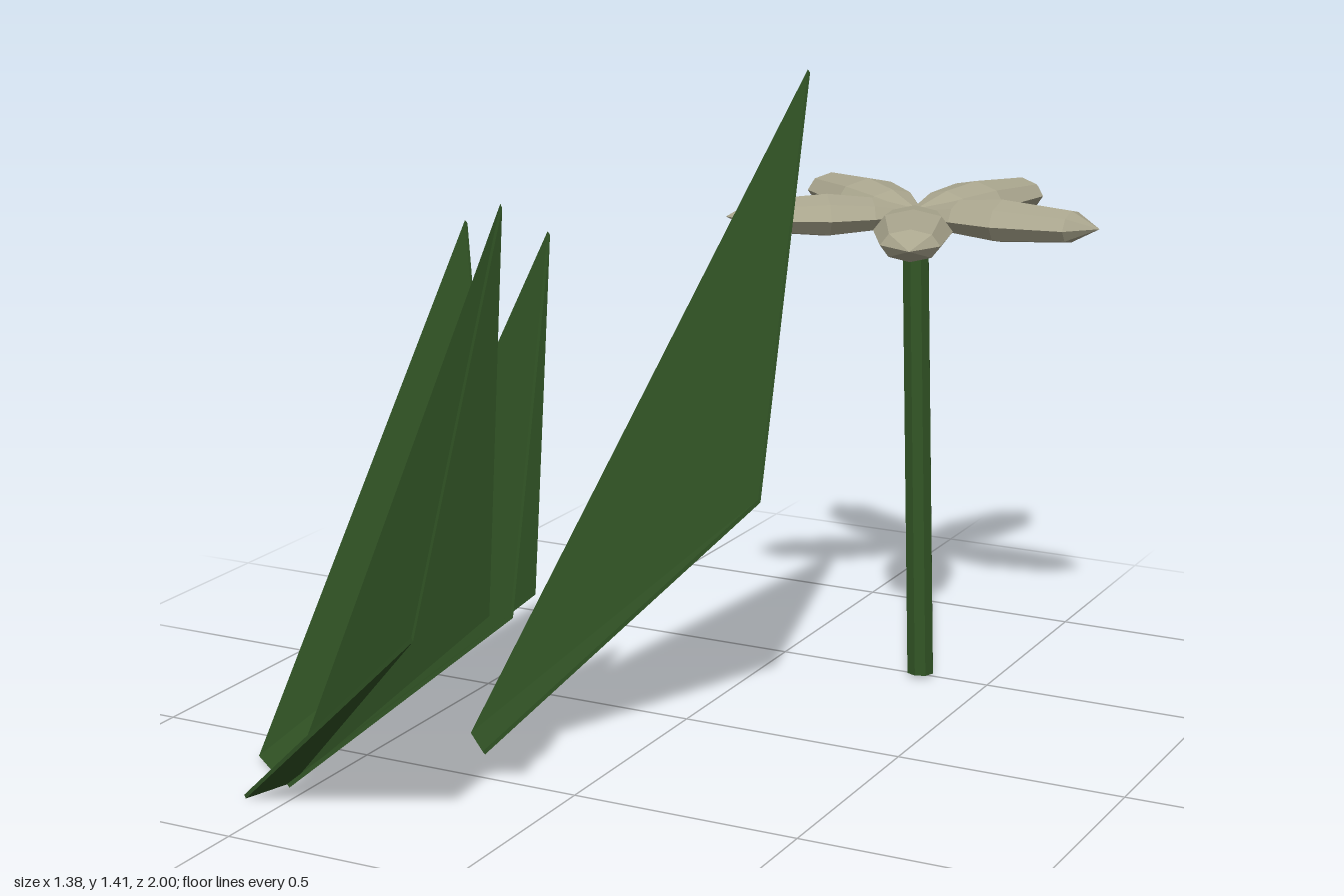
import * as THREE from 'three';

const leafGreen = new THREE.MeshStandardMaterial({ color: 0x305224, side: THREE.DoubleSide });
leafGreen.name = 'leaf green';
const petalCream = new THREE.MeshStandardMaterial({ color: 0xaaa68e });
petalCream.name = 'petal cream';

// Adds a mesh with flat facets
function addMesh(parent, name, geometry, material) {
  const faceted = geometry.toNonIndexed();
  faceted.computeVertexNormals();
  const mesh = new THREE.Mesh(faceted, material);
  mesh.name = name;
  parent.add(mesh);
  return mesh;
}

// Thin blade: a five-cornered outline folded along lines that fan out from
// its first base corner, given a narrow rim
function leafGeometry({ base, middle, height, tip }) {
  const back = [
    [base[0][0], 0, base[0][1]],
    [base[1][0], 0, base[1][1]],
    [middle[1][0], height, middle[1][1]],
    tip,
    [middle[0][0], height, middle[0][1]],
  ];
  // The inner sheet lies a little above and towards the root
  const run = new THREE.Vector2(tip[0] - base[0][0], tip[2] - base[0][1]).setLength(0.005);
  const inner = back.map(([x, y, z]) => [x - run.x, y + 0.007, z - run.y]);
  const faces = [];
  for (let i = 1; i < 4; i++) faces.push(0, i, i + 1, 5, 6 + i, 5 + i);
  for (let i = 0; i < 5; i++) {
    const j = (i + 1) % 5;
    faces.push(i, 5 + i, 5 + j, i, 5 + j, j);
  }
  const g = new THREE.BufferGeometry();
  g.setAttribute('position', new THREE.Float32BufferAttribute([...back, ...inner].flat(), 3));
  g.setIndex(faces);
  return g;
}

// Base and middle corners as [x, z]; the first of each is on the folded side
const leaves = [
  { name: 'tallLeaf', base: [[-0.36, 0.30], [-0.28, 0.385]], middle: [[0.05, -0.13], [0.17, -0.01]],
    height: 0.51, tip: [0.207, 1.405, -0.158] },
  { name: 'rearLeaf', base: [[-0.685, 0.62], [-0.585, 0.70]], middle: [[-0.42, 0.23], [-0.26, 0.36]],
    height: 0.40, tip: [-0.345, 1.12, 0.31] },
  { name: 'middleLeaf', base: [[-0.56, 0.62], [-0.54, 0.73]], middle: [[-0.08, 0.51], [-0.045, 0.66]],
    height: 0.42, tip: [0, 1.175, 0.575] },
  { name: 'frontLeaf', base: [[-0.55, 0.70], [-0.585, 0.82]], middle: [[-0.015, 0.80], [-0.065, 0.995]],
    height: 0.47, tip: [0.11, 1.30, 0.94] },
];

export function createModel() {
  const model = new THREE.Group();
  model.name = 'flowerAndLeaves';

  // Leaves
  for (const leaf of leaves) addMesh(model, leaf.name, leafGeometry(leaf), leafGreen);

  // Leaning stem, its ends cut level
  const foot = new THREE.Vector3(0.34, 0.008, -0.495);
  const top = new THREE.Vector3(0.265, 1.03, -0.595);
  const rise = top.y - foot.y;
  const stem = new THREE.CylinderGeometry(0.031, 0.031, rise, 8);
  stem.translate(0, rise / 2, 0);
  stem.applyMatrix4(new THREE.Matrix4().set(
    1, (top.x - foot.x) / rise, 0, foot.x,
    0, 1, 0, foot.y,
    0, (top.z - foot.z) / rise, 1, foot.z,
    0, 0, 0, 1));
  addMesh(model, 'stem', stem, leafGreen);

  // Five plump petals, slightly unevenly spread around the top of the stem
  const flower = new THREE.Group();
  flower.name = 'flower';
  flower.position.set(0.265, 1.037, -0.6);
  model.add(flower);
  const profile = [[0, -0.01], [0.024, 0.01], [0.068, 0.1], [0.086, 0.2], [0.064, 0.36], [0, 0.424]]
    .map(([r, d]) => new THREE.Vector2(r, d));
  for (const angle of [2, 71, 146, 212, 291]) {
    const petal = new THREE.LatheGeometry(profile, 8);
    petal.scale(0.55, 1, 1);
    petal.rotateZ(-Math.PI / 2);
    addMesh(flower, 'petal', petal, petalCream).rotation.y = THREE.MathUtils.degToRad(angle);
  }
  return model;
}
